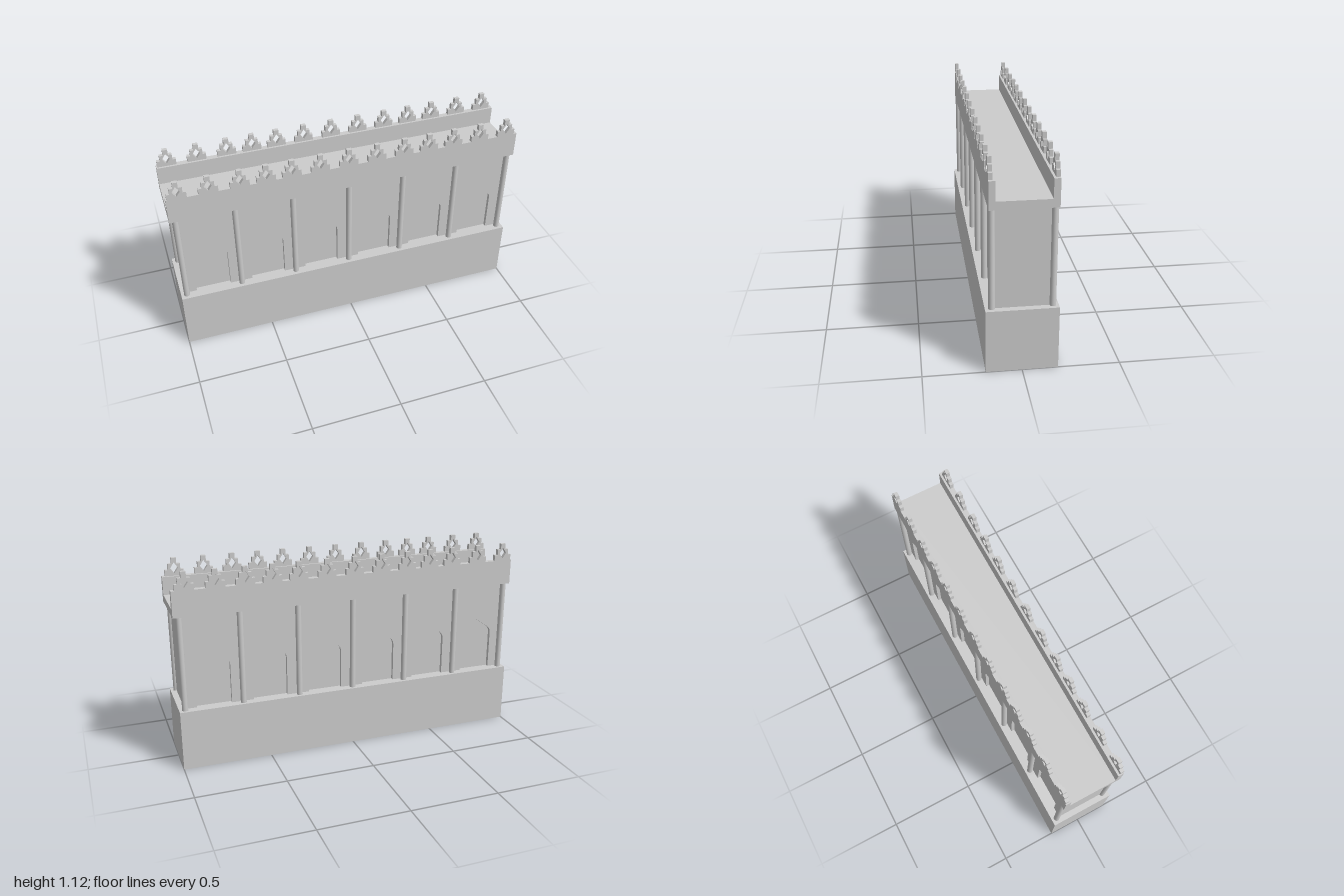
import * as THREE from 'three';

const material = new THREE.MeshStandardMaterial({ color: 0xcccccc });
const thinMaterial = new THREE.MeshStandardMaterial({ color: 0xcccccc, side: THREE.DoubleSide });

const BASE_TOP = 0.342, WALL_TOP = 0.873, FLOOR = 0.917, PARAPET_TOP = 1.018;
const BASE_Z = 0.183, FRONT = 0.133, BACK = -0.137, DEPTH = 0.033, NICHE = 0.02;
const WALL_X = 0.967, BAY = 0.68;
const columnX = [-0.967, -0.65, -0.329, -0.005, 0.316, 0.642, 0.967];
const archX = [-0.81, -0.489, -0.168, 0.158, 0.481, 0.802];
const merlonX = [-0.942, -0.778, -0.612, -0.47, -0.33, -0.172, -0.011, 0.15, 0.31, 0.458, 0.606, 0.767, 0.93];

function polygon(points, Type = THREE.Shape) {
  return new Type(points.map(([x, y]) => new THREE.Vector2(x, y)));
}

function extrude(shape, depth) {
  return new THREE.ExtrudeGeometry(shape, { depth, bevelEnabled: false });
}

function add(parent, name, geometry, x = 0, y = 0, z = 0, mat = material) {
  const mesh = new THREE.Mesh(geometry, mat);
  mesh.name = name;
  mesh.position.set(x, y, z);
  parent.add(mesh);
  return mesh;
}

// Box given by its lower and upper corners
function addBox(parent, name, a, b) {
  const size = b.map((v, i) => v - a[i]);
  return add(parent, name, new THREE.BoxGeometry(...size), ...b.map((v, i) => (v + a[i]) / 2));
}

// Wall facing whose lower edge is cut by pointed niches
function facingGeometry() {
  const arch = [[-0.098, 0], [-0.098, 0.225], [-0.095, 0.241], [-0.086, 0.254], [-0.074, 0.265],
    [0, 0.317], [0.074, 0.265], [0.086, 0.254], [0.095, 0.241], [0.098, 0.225], [0.098, 0]];
  const outline = [[-WALL_X, BASE_TOP]];
  for (const cx of archX) {
    for (const [x, y] of arch) outline.push([cx + x, BASE_TOP + y]);
  }
  outline.push([WALL_X, BASE_TOP], [WALL_X, WALL_TOP], [-WALL_X, WALL_TOP]);
  return extrude(polygon(outline), NICHE);
}

// Stepped merlon pierced by a diamond
function merlonGeometry() {
  const half = [[0.052, 0], [0.052, 0.034], [0.034, 0.034], [0.034, 0.067], [0.014, 0.067], [0.014, 0.1]];
  const mirrored = half.map(([x, y]) => [-x, y]).reverse();
  const shape = polygon([...half, ...mirrored]);
  shape.holes.push(polygon([[0, 0.013], [-0.021, 0.043], [0, 0.075], [0.021, 0.043]], THREE.Path));
  return extrude(shape, 0.021);
}

export function createModel() {
  const model = new THREE.Group();
  model.name = 'arcadedWall';

  // Base: solid ends and a hollow middle open underneath
  const base = new THREE.Group();
  base.name = 'base';
  model.add(base);
  for (const s of [-1, 1]) {
    addBox(base, 'baseEnd', [s < 0 ? -1 : BAY, 0, -BASE_Z], [s < 0 ? -BAY : 1, BASE_TOP, BASE_Z]);
    const side = add(base, 'baseSide', new THREE.PlaneGeometry(2 * BAY, BASE_TOP),
      0, BASE_TOP / 2, s * BASE_Z, thinMaterial);
    if (s < 0) side.rotation.y = Math.PI;
  }
  const top = add(base, 'baseTop', new THREE.PlaneGeometry(2 * BAY, 2 * BASE_Z), 0, BASE_TOP, 0, thinMaterial);
  top.rotation.x = -Math.PI / 2;

  // Wall core behind the niches
  addBox(model, 'wallCore', [-WALL_X, BASE_TOP, BACK + NICHE], [WALL_X, WALL_TOP, FRONT - NICHE]);

  // Trough-shaped top: floor and two parapets
  const z0 = BACK - DEPTH, z1 = FRONT + DEPTH;
  const trough = extrude(polygon([[z0, WALL_TOP], [z1, WALL_TOP], [z1, PARAPET_TOP], [FRONT, PARAPET_TOP],
    [FRONT, FLOOR], [BACK, FLOOR], [BACK, PARAPET_TOP], [z0, PARAPET_TOP]]), 2);
  trough.rotateY(-Math.PI / 2);
  add(model, 'parapetAndFloor', trough, 1);

  // Niches, columns and merlons on both long sides
  const facing = facingGeometry();
  const merlon = merlonGeometry();
  const column = new THREE.CylinderGeometry(DEPTH / 2, DEPTH / 2, WALL_TOP - BASE_TOP, 20);
  const sides = [
    { name: 'front', facingZ: FRONT - NICHE, columnZ: FRONT + DEPTH / 2, merlonZ: z1 - 0.021 },
    { name: 'back', facingZ: BACK, columnZ: BACK - DEPTH / 2, merlonZ: z0 },
  ];
  for (const { name, facingZ, columnZ, merlonZ } of sides) {
    const side = new THREE.Group();
    side.name = name + 'Side';
    model.add(side);
    add(side, 'nicheWall', facing, 0, 0, facingZ);
    for (const x of columnX) add(side, 'column', column, x, (BASE_TOP + WALL_TOP) / 2, columnZ);
    for (const x of merlonX) add(side, 'merlon', merlon, x, PARAPET_TOP, merlonZ);
  }
  return model;
}
